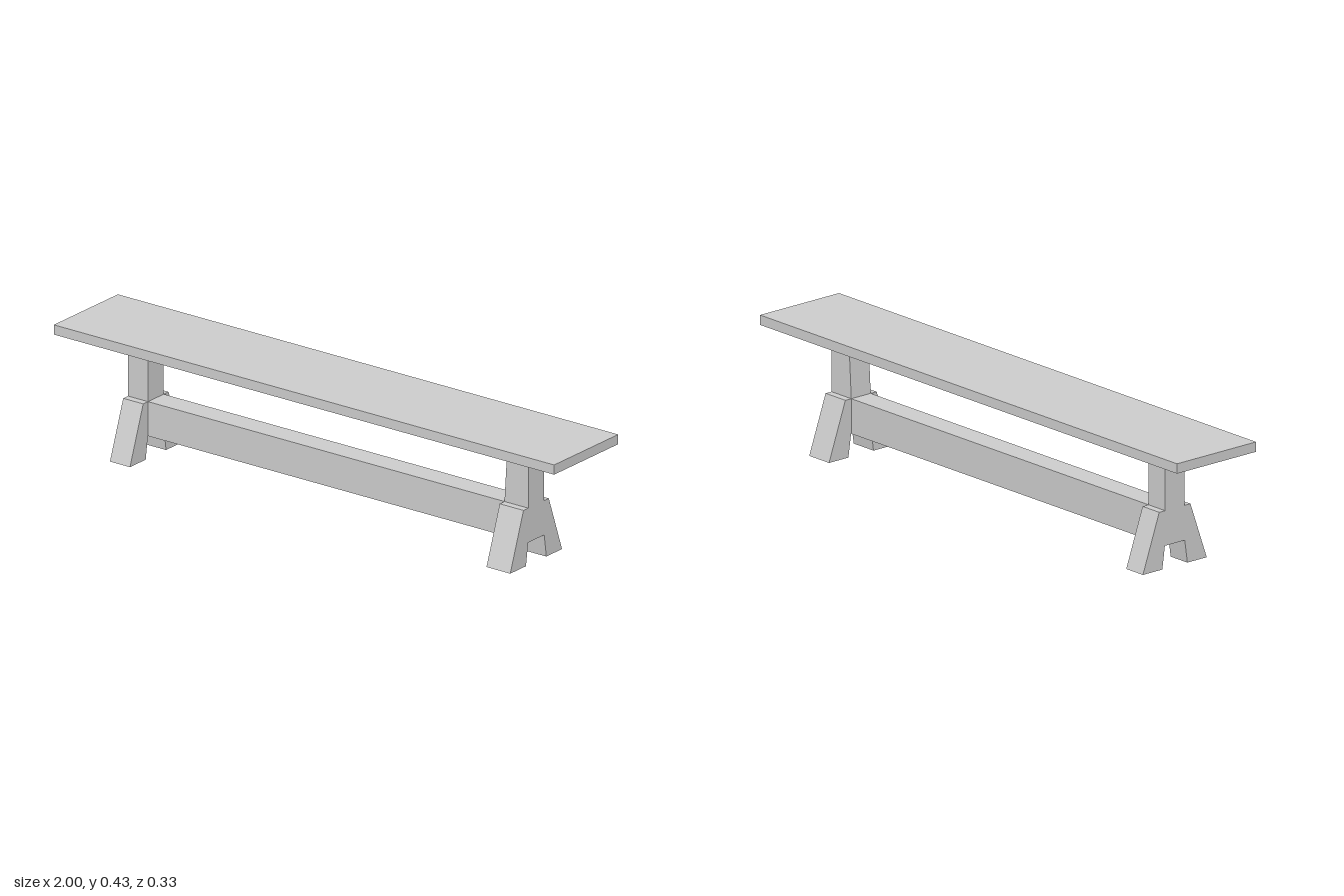
import * as THREE from 'three';

const SEAT_BOTTOM = 0.395, SEAT_TOP = 0.428, SHOULDER = 0.194, ARCH = 0.077, POST_HALF = 0.041;

export function createModel() {
  const bench = new THREE.Group();
  bench.name = 'bench';
  const material = new THREE.MeshStandardMaterial({ color: 0xcccccc, flatShading: true });

  const add = (name, geometry, parent = bench) => {
    const mesh = new THREE.Mesh(geometry, material);
    mesh.name = name;
    parent.add(mesh);
    return mesh;
  };

  // Box given by its lower and upper limits
  const box = (x0, x1, y0, y1, halfZ) =>
    new THREE.BoxGeometry(x1 - x0, y1 - y0, halfZ * 2).translate((x0 + x1) / 2, (y0 + y1) / 2, 0);

  // Splayed foot with an arch cut out underneath, outlined in z and y
  const half = [[0.042, ARCH], [0.053, 0], [0.135, 0], [0.066, SHOULDER]];
  const outline = [...half, ...half.map(([z, y]) => [-z, y]).reverse()];
  const footShape = new THREE.Shape(outline.map(([z, y]) => new THREE.Vector2(z, y)));
  const foot = (x0, x1) =>
    new THREE.ExtrudeGeometry(footShape, { depth: x1 - x0, bevelEnabled: false })
      .rotateY(-Math.PI / 2).translate(x1, 0, 0);

  // Upright post; taper draws in the top of its inner (smaller x) face
  const post = (x0, x1, taper) => {
    const geometry = box(x0, x1, SHOULDER, SEAT_BOTTOM, POST_HALF);
    const p = geometry.attributes.position;
    for (let i = 0; i < p.count; i++) {
      if (p.getY(i) > 0.3 && p.getX(i) < (x0 + x1) / 2) p.setX(i, x0 + taper);
    }
    geometry.computeVertexNormals();
    return geometry;
  };

  // Seat plank
  add('seat', box(-1, 1, SEAT_BOTTOM, SEAT_TOP, 0.167));

  // Trestle legs at both ends; the left one is wider with a tapered post
  for (const [side, x0, x1, taper] of [['right', -0.8, -0.72, 0], ['left', 0.705, 0.8, 0.012]]) {
    const leg = new THREE.Group();
    leg.name = side + 'Leg';
    bench.add(leg);
    add(side + 'Foot', foot(x0, x1), leg);
    add(side + 'Post', post(x0, x1, taper), leg);
  }

  // Stretcher beam between the legs
  add('stretcher', box(-0.72, 0.705, ARCH, SHOULDER, POST_HALF));

  return bench;
}
